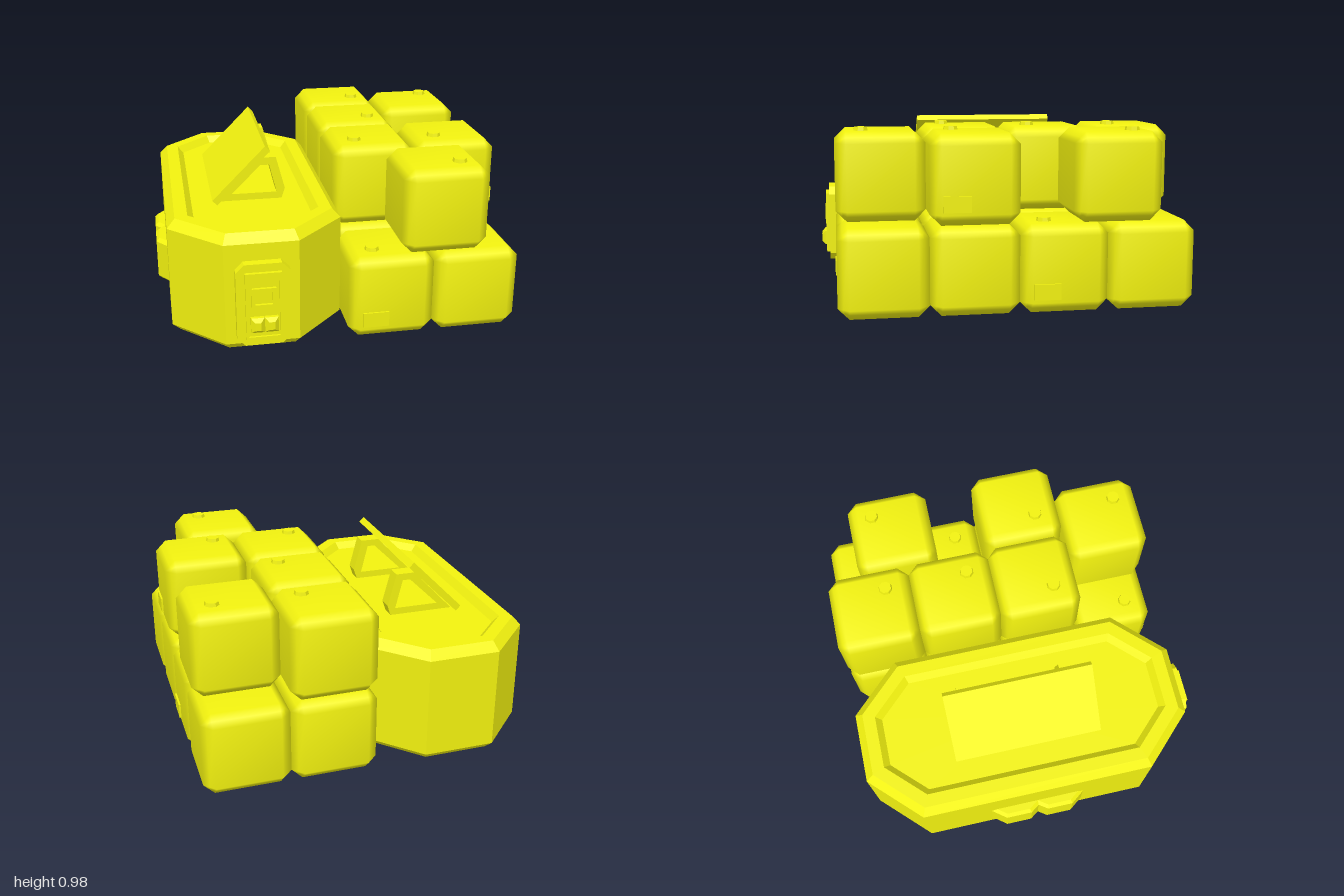
import * as THREE from 'three';
import { mergeVertices } from 'three/addons/utils/BufferGeometryUtils.js';

const smooth = new THREE.MeshStandardMaterial({ color: 0xf2f20f });
const flat = new THREE.MeshStandardMaterial({ color: 0xf2f20f, flatShading: true });

function add(parent, name, geometry, x = 0, y = 0, z = 0, material = flat) {
  const mesh = new THREE.Mesh(geometry, material);
  mesh.name = name;
  mesh.position.set(x, y, z);
  parent.add(mesh);
  return mesh;
}

const points = (list) => list.map(([x, y]) => new THREE.Vector2(x, y));

function extrude(outline, depth, holes = [], bevel = 0) {
  const shape = new THREE.Shape(points(outline));
  holes.forEach((h) => shape.holes.push(new THREE.Path(points(h))));
  return new THREE.ExtrudeGeometry(shape, {
    depth: depth - 2 * bevel, bevelEnabled: bevel > 0, bevelSegments: 1,
    bevelSize: bevel, bevelThickness: bevel, bevelOffset: -bevel,
  }).translate(0, 0, bevel);
}

const rect = (x0, y0, x1, y1) => [[x0, y0], [x1, y0], [x1, y1], [x0, y1]];

// Stacked octagon rings, each given as [inset, height], closed at both ends
function octagonBody(rings) {
  const loops = rings.map(([d, y]) => {
    const hx = 0.475 - d, hz = 0.95 - d, fx = 0.2 - d * 0.414, fz = 0.67 - d * 0.414;
    return [[hx, -fz], [hx, fz], [fx, hz], [-fx, hz], [-hx, fz], [-hx, -fz], [-fx, -hz], [fx, -hz]]
      .map(([x, z]) => [x, y, z]);
  });
  const out = [];
  const top = loops[loops.length - 1], bottom = loops[0];
  for (let i = 0; i < 8; i++) {
    const j = (i + 1) % 8;
    for (let k = 0; k < loops.length - 1; k++) {
      const p = loops[k], q = loops[k + 1];
      out.push(p[i], q[i], p[j], q[i], q[j], p[j]);
    }
    out.push([0, top[0][1], 0], top[j], top[i]);
    out.push([0, bottom[0][1], 0], bottom[i], bottom[j]);
  }
  const g = new THREE.BufferGeometry();
  g.setAttribute('position', new THREE.Float32BufferAttribute(out.flat(), 3));
  g.computeVertexNormals();
  return g;
}

// Cube with one chamfer along every edge and smooth normals
function softCube(size, bevel) {
  const g = new THREE.BoxGeometry(1, 1, 1, 3, 3, 3);
  const pos = g.attributes.position;
  const h = size / 2;
  for (let i = 0; i < pos.count; i++) {
    const p = [pos.getX(i), pos.getY(i), pos.getZ(i)];
    const outer = p.filter((t) => Math.abs(t) > 0.4).length;
    const pull = [0, 0, bevel / 2, bevel * 2 / 3][outer];
    pos.setXYZ(i, ...p.map((t) => Math.sign(t) * (h - (Math.abs(t) > 0.4 ? pull : bevel))));
  }
  g.deleteAttribute('uv');
  g.deleteAttribute('normal');
  const merged = mergeVertices(g);
  merged.computeVertexNormals();
  return merged;
}

export function createModel() {
  const model = new THREE.Group();
  model.name = 'baseWithCubes';

  // Octagonal base with a raised rim and sunken deck
  add(model, 'base', octagonBody([
    [0.045, 0], [0, 0.045], [0, 0.62], [0.045, 0.67], [0.115, 0.67], [0.15, 0.63],
  ]), -0.455, 0, -0.05);

  // Tilted panel and its two support frames
  const panel = add(model, 'tiltedPanel', new THREE.BoxGeometry(0.43, 0.04, 0.855), -0.5, 0.808, -0.0475);
  panel.rotation.z = Math.PI / 4;
  const support = extrude(
    [[-0.64, 0.63], [-0.26, 0.63], [-0.24, 0.69], [-0.29, 0.88], [-0.4, 0.88]], 0.085,
    [[[-0.55, 0.67], [-0.375, 0.84], [-0.33, 0.84], [-0.288, 0.67]]]);
  for (const z of [-0.395, 0.205]) add(model, 'panelSupport', support, 0, 0, z);

  // Control box on the front
  const control = new THREE.Group();
  control.name = 'controlBox';
  control.position.set(-0.455, 0, 0);
  model.add(control);
  add(control, 'controlPlate', extrude([
    [-0.1, 0.055], [0.1, 0.055], [0.145, 0.1], [0.145, 0.48],
    [0.1, 0.525], [-0.1, 0.525], [-0.145, 0.48], [-0.145, 0.1],
  ], 0.07), 0, 0, 0.88);
  add(control, 'controlRim', extrude(rect(-0.097, 0.1, 0.097, 0.48), 0.02,
    [rect(-0.083, 0.113, 0.083, 0.467)]), 0, 0, 0.95);
  add(control, 'controlFace', new THREE.BoxGeometry(0.166, 0.354, 0.02), 0, 0.29, 0.949);
  add(control, 'screenFrame', extrude(rect(-0.065, 0.28, 0.065, 0.395), 0.017,
    [rect(-0.046, 0.302, 0.046, 0.373)]), 0, 0, 0.958);
  for (const x of [-0.037, 0.037]) {
    add(control, 'button', extrude(rect(-0.036, 0.145, 0.036, 0.23), 0.06, [], 0.02), x, 0, 0.94);
  }

  // Notched block on the right side
  const block = extrude([
    [-0.88, -0.23], [-0.93, -0.23], [-0.99, -0.15], [-0.99, 0.0], [-0.955, 0.05],
    [-0.99, 0.1], [-0.99, 0.25], [-0.93, 0.33], [-0.88, 0.33],
  ], 0.26, [], 0.02).rotateX(-Math.PI / 2);
  add(model, 'sideBlock', block, 0, 0.11, 0);

  // Cubes: full lower layer, looser upper layer
  const cubeGeometry = softCube(0.477, 0.06);
  const xs = [0.2585, 0.736], zs = [0.667, 0.19, -0.285, -0.762];
  for (const x of xs) for (const z of zs) add(model, 'lowerCube', cubeGeometry, x, 0.2385, z, smooth);
  const upper = [[0.547, zs[0]], [xs[0], zs[1]], [xs[1], zs[1]],
    [xs[0], zs[2]], [xs[0], zs[3]], [xs[1], -0.572]];
  for (const [x, z] of upper) add(model, 'upperCube', cubeGeometry, x, 0.717, z, smooth);

  // Small round caps on the cube tops
  const cap = new THREE.CylinderGeometry(0.036, 0.045, 0.04, 8).rotateY(Math.PI / 8);
  const caps = [[0.64, 0.765, 1], [0.165, 0.285, 1], [0.64, 0.285, 1], [0.355, -0.19, 1],
    [0.355, -0.67, 1], [0.83, -0.67, 1], [0.83, -0.19, 0], [0.165, 0.765, 0]];
  for (const [x, z, level] of caps) add(model, 'cap', cap, x, level ? 0.955 : 0.477, z);

  // Raised plates on the cube sides
  const plate = new THREE.BoxGeometry(0.145, 0.085, 0.03);
  add(model, 'plate', plate, 0.163, 0.122, 0.9);
  for (const [y, z] of [[0.597, 0.29], [0.122, -0.183]]) {
    add(model, 'plate', plate, 0.97, y, z).rotation.y = Math.PI / 2;
  }
  return model;
}
